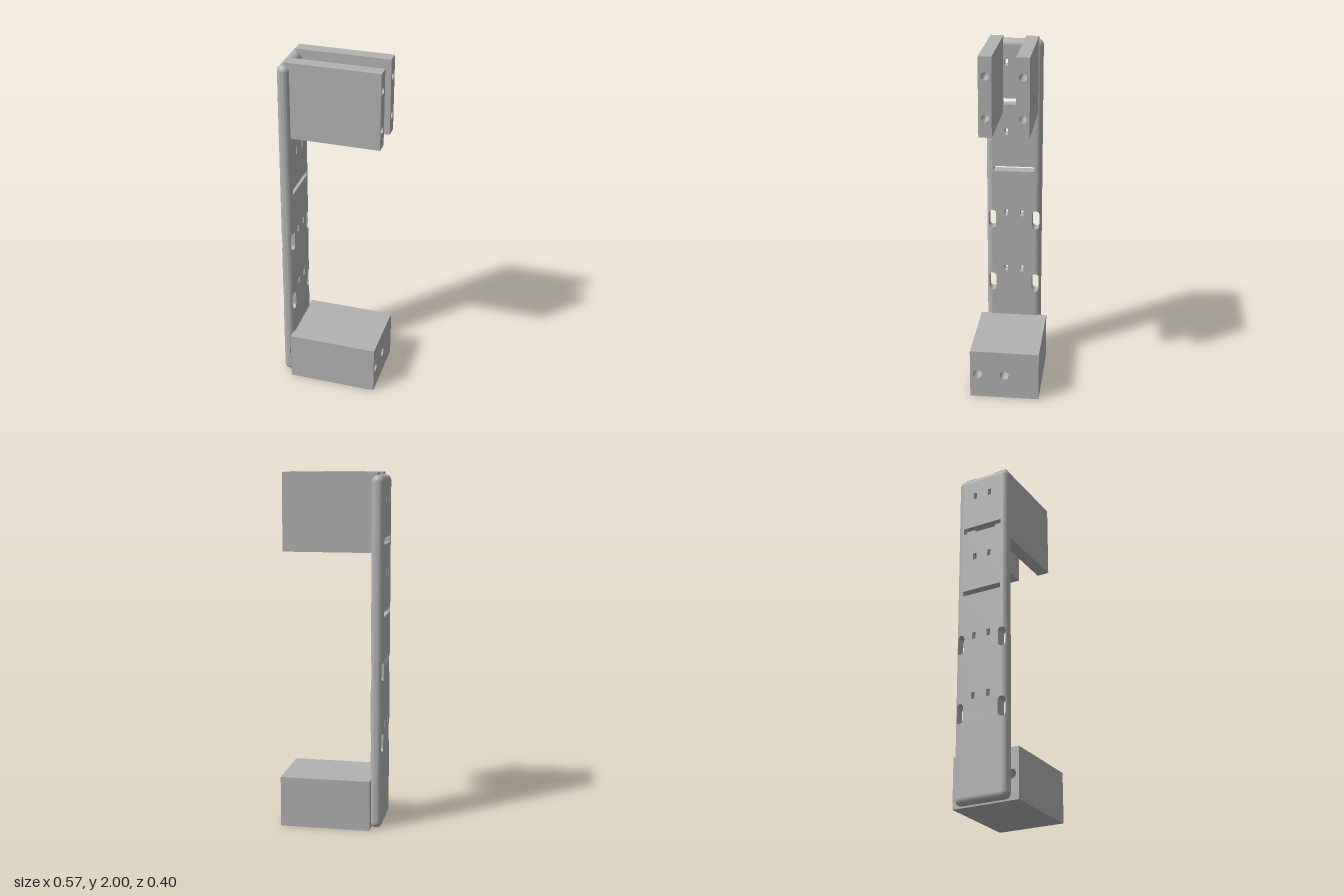
import * as THREE from 'three';
import { toCreasedNormals } from 'three/addons/utils/BufferGeometryUtils.js';

const R = 0.0345;            // half thickness of the spine
const E = 0.1275;            // half width of its flat part
const Y0 = 0.005 + R, Y1 = 1.985 - R;
const SPINE_X = -0.2525;
const SLOT_R = 0.0215, SLOT_H = 0.0565;
const SLOTS = [0.505, 0.91];
const BORE = { y: 0.145, z: 0.155, r: 0.026 };

// Heights along a slotted edge with the slot half width w at each
function edgeRows() {
  const rows = [];
  const straight = SLOT_H - SLOT_R;
  for (const c of SLOTS) {
    for (const s of [-1, 1]) {
      for (let i = 0; i <= 6; i++) {
        const t = (s < 0 ? i : 6 - i) / 6 * Math.PI / 2;
        rows.push({ y: c + s * (straight + SLOT_R * Math.cos(t)), w: SLOT_R * Math.sin(t) });
      }
    }
  }
  return [{ y: Y0, w: 0 }, ...rows, { y: Y1, w: 0 }];
}

function rect(a, y, w, h) {
  return new THREE.Path([[-1, -1], [-1, 1], [1, 1], [1, -1]].map(
    ([i, j]) => new THREE.Vector2(a + i * w / 2, y + j * h / 2)));
}

// Extrudes a (-z, y) shape along x, starting at x
function extrudeX(shape, x, depth) {
  return new THREE.ExtrudeGeometry(shape, { depth, bevelEnabled: false, curveSegments: 16 })
    .rotateY(Math.PI / 2).translate(x, 0, 0);
}

// Flat middle of the spine with all its openings
function plateGeometry() {
  const rows = edgeRows();
  const right = rows.map(r => new THREE.Vector2(E - r.w, r.y));
  const left = rows.map(r => new THREE.Vector2(r.w - E, r.y)).reverse();
  const shape = new THREE.Shape([...right, ...left]);
  for (const y of [0.596, 0.952, 1.45, 1.853])
    for (const a of [-0.046, 0.046]) shape.holes.push(rect(a, y, 0.021, 0.038));
  shape.holes.push(rect(0, 1.225, 0.24, 0.03), rect(0, 1.628, 0.24, 0.037));
  return extrudeX(shape, -R, 2 * R);
}

// Rounded long edge, cut by the slots and optionally by the bore
function rimGeometry(bored) {
  const rows = edgeRows();
  if (bored) {
    const cut = [{ y: BORE.y - BORE.r, w: 0 }];
    for (let i = 0; i <= 10; i++) {
      const t = i / 10 * Math.PI;
      cut.push({ y: BORE.y - BORE.r * Math.cos(t), w: 0, z: BORE.z - BORE.r * Math.sin(t) });
    }
    cut.push({ y: BORE.y + BORE.r, w: 0 });
    rows.splice(1, 0, ...cut);
  }
  const n = 16, m = n + 1, pos = [], index = [];
  rows.forEach((row, i) => {
    const top = Math.acos(row.w / R);
    for (let j = 0; j <= n; j++) {
      const t = (j / n * 2 - 1) * top;
      const z = E + R * Math.cos(t);
      let x = R * Math.sin(t);
      if (row.z !== undefined && z > row.z) x = Math.min(x, 0.007);
      pos.push(x, row.y, z);
    }
    if (i === rows.length - 1) return;
    for (let j = 0; j < m; j++) {
      const a = i * m + j, b = i * m + (j + 1) % m;
      index.push(a, b, b + m, a, b + m, a + m);
    }
  });
  const g = new THREE.BufferGeometry();
  g.setAttribute('position', new THREE.Float32BufferAttribute(pos, 3));
  g.setIndex(index);
  return toCreasedNormals(g, 0.6);
}

// Block bored along its length; holes are [z, y]
function boredBlock(x0, x1, y0, y1, z0, z1, holes, r) {
  const shape = new THREE.Shape([
    new THREE.Vector2(-z1, y0), new THREE.Vector2(-z0, y0),
    new THREE.Vector2(-z0, y1), new THREE.Vector2(-z1, y1)]);
  for (const [z, y] of holes)
    shape.holes.push(new THREE.Path().absarc(-z, y, r, 0, Math.PI * 2, true));
  return toCreasedNormals(extrudeX(shape, x0, x1 - x0), 0.6);
}

export function createModel() {
  const model = new THREE.Group();
  model.name = 'bracket';
  const grey = new THREE.MeshStandardMaterial({ color: 0xb2b2b2 });
  grey.name = 'grey';
  const add = (parent, name, geometry) => {
    const mesh = new THREE.Mesh(geometry, grey);
    mesh.name = name;
    parent.add(mesh);
    return mesh;
  };

  // Upright with fully rounded edges
  const spine = new THREE.Group();
  spine.name = 'spine';
  spine.position.x = SPINE_X;
  model.add(spine);
  add(spine, 'spinePlate', plateGeometry());
  add(spine, 'leftRim', rimGeometry(true));
  add(spine, 'rightRim', rimGeometry(false)).rotation.y = Math.PI;
  for (const [name, y] of [['bottomRim', Y0], ['topRim', Y1]]) {
    const bar = add(spine, name, new THREE.CapsuleGeometry(R, 2 * E, 8, 32));
    bar.rotation.x = Math.PI / 2;
    bar.position.y = y;
  }

  // Pair of upper arms
  for (const [name, z] of [['leftArm', 0.1], ['rightArm', -0.1]]) {
    add(model, name, boredBlock(-0.252, 0.279, 1.565, 2, z - 0.036, z + 0.036,
      [[z, 1.67], [z, 1.895]], 0.021));
  }

  // Solid foot block
  add(model, 'footBlock', boredBlock(-0.225, 0.286, 0.003, 0.29, -0.198, 0.198,
    [[BORE.z, BORE.y], [0, BORE.y]], BORE.r));

  return model;
}
